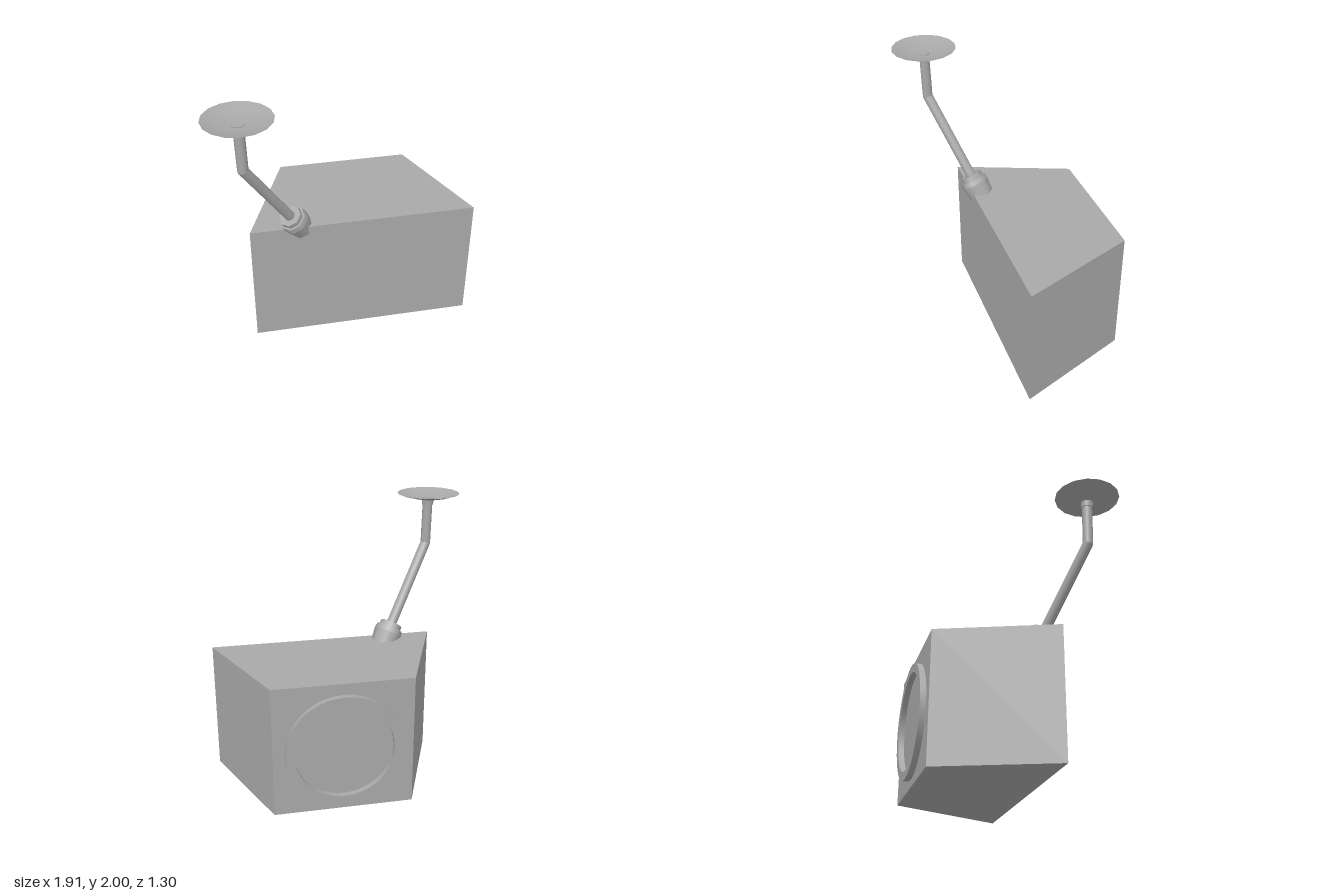
import * as THREE from 'three';

export function createModel() {
  const model = new THREE.Group();
  const grey = new THREE.MeshStandardMaterial({ color: 0xa8a8a8 });
  grey.name = 'grey';
  const greyShell = new THREE.MeshStandardMaterial({ color: 0xa8a8a8, side: THREE.DoubleSide });
  greyShell.name = 'grey shell';

  const add = (name, geometry, material = grey) => {
    const mesh = new THREE.Mesh(geometry, material);
    mesh.name = name;
    model.add(mesh);
    return mesh;
  };

  // Tapered cylinder running from point a (radius ra) to point b (radius rb)
  const up = new THREE.Vector3(0, 1, 0);
  const rod = (name, a, b, ra, rb, sides) => {
    const axis = b.clone().sub(a);
    const mesh = add(name, new THREE.CylinderGeometry(rb, ra, axis.length(), sides));
    mesh.position.copy(a).add(b).multiplyScalar(0.5);
    mesh.quaternion.setFromUnitVectors(up, axis.normalize());
    return mesh;
  };

  // Wedge-shaped cabinet: trapezoid plan extruded upwards
  const plan = new THREE.Shape([
    [-0.693, -0.21], [0.957, -0.21], [0.627, 0.613], [-0.365, 0.613],
  ].map(([x, y]) => new THREE.Vector2(x, y)));
  const cabinet = new THREE.ExtrudeGeometry(plan, { depth: 0.963, bevelEnabled: false });
  cabinet.rotateX(-Math.PI / 2);
  add('cabinet', cabinet);

  // Raised ring around the round opening on the back
  const ring = new THREE.LatheGeometry([
    [0.35, 0], [0.35, 0.042], [0.35, 0.042], [0.413, 0.042], [0.413, 0.042], [0.413, 0],
  ].map(([x, y]) => new THREE.Vector2(x, y)), 40);
  ring.rotateX(-Math.PI / 2);
  add('coneRing', ring, greyShell).position.set(0.131, 0.47, -0.613);

  // Bent mounting arm
  const top = new THREE.Vector3(-0.722, 1.965, 0.415);
  const elbow = new THREE.Vector3(-0.714, 1.62, 0.41);
  const joint = new THREE.Vector3(-0.38, 1.025, 0.175);
  const dir = joint.clone().sub(elbow).normalize();
  const along = (t) => joint.clone().addScaledVector(dir, t);
  rod('upperArm', top, elbow, 0.037, 0.037, 12);
  rod('lowerArm', elbow, joint, 0.037, 0.037, 12);
  add('elbow', new THREE.SphereGeometry(0.037, 12, 8)).position.copy(elbow);
  rod('topCollar', new THREE.Vector3(-0.722, 1.915, 0.415), top, 0.043, 0.045, 12);

  // Swivel socket sunk into the cabinet's upper front edge
  rod('socketNeck', along(-0.045), along(0.0), 0.082, 0.085, 8);
  rod('socketRim', along(-0.01), along(0.03), 0.098, 0.106, 8);
  rod('socketBody', along(0.03), along(0.2), 0.106, 0.085, 8);

  // Shallow open ceiling dish
  const dishProfile = [];
  for (let i = 0; i <= 6; i++) {
    const r = 0.233 * i / 6;
    dishProfile.push(new THREE.Vector2(r, 0.043 * (i / 6) ** 2));
  }
  add('ceilingDish', new THREE.LatheGeometry(dishProfile, 16), greyShell)
    .position.set(-0.725, 1.957, 0.415);

  return model;
}
